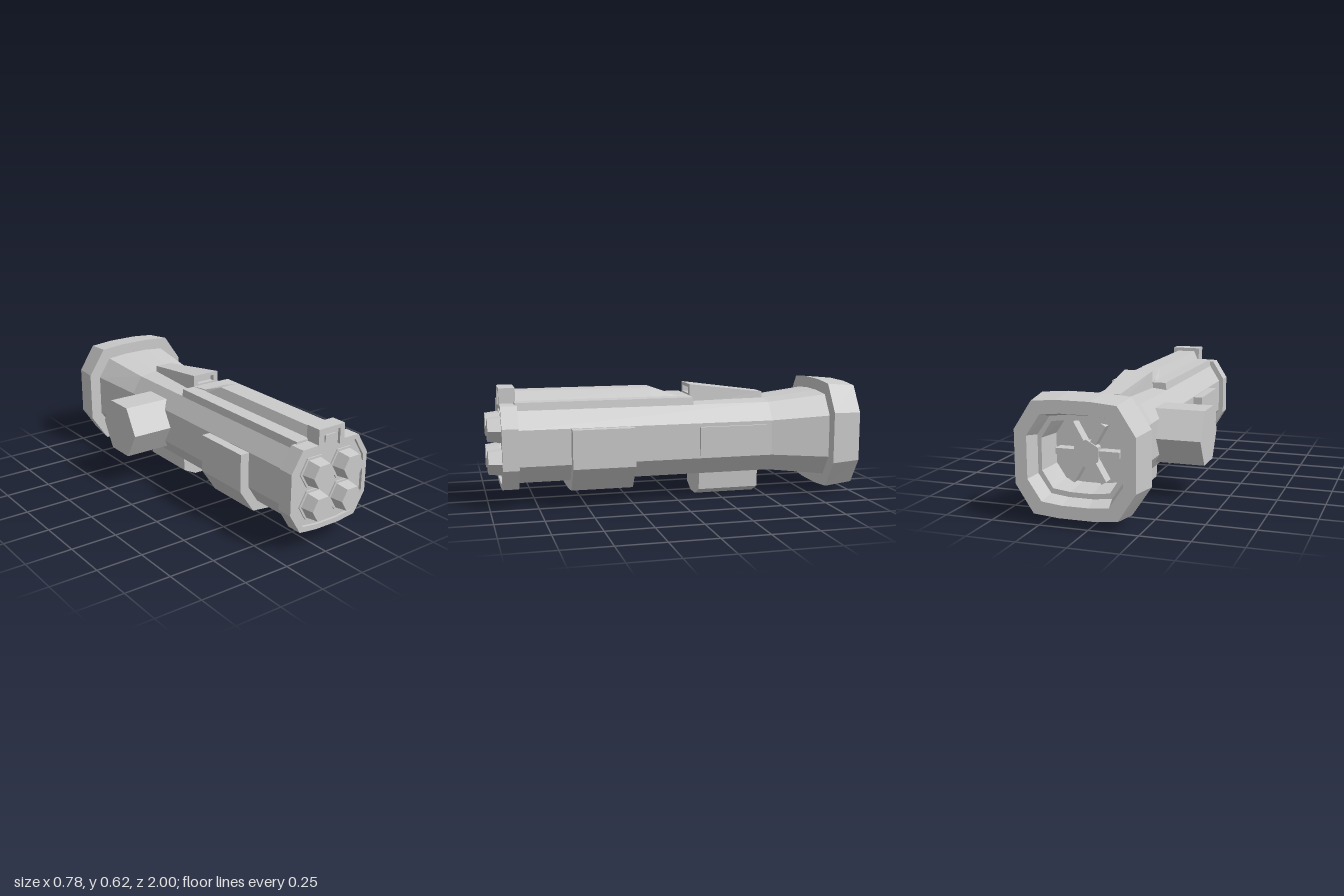
import * as THREE from 'three';

const CX = 0.064, CY = 0.327; // long axis of the launcher
const mat = new THREE.MeshStandardMaterial({ color: 0xcccccc, flatShading: true });

// Skin a list of [z, points] rings, ordered along the surface from front to back.
function loft(rings, capFront = true, capBack = true) {
  const pos = [];
  const put = (r, i) => pos.push(r[1][i][0], r[1][i][1], r[0]);
  const n = rings[0][1].length;
  for (let k = 0; k < rings.length - 1; k++) {
    const a = rings[k], b = rings[k + 1];
    for (let i = 0; i < n; i++) {
      const j = (i + 1) % n;
      put(a, i); put(b, i); put(b, j);
      put(a, i); put(b, j); put(a, j);
    }
  }
  const cap = (r, flip) => {
    const tris = THREE.ShapeUtils.triangulateShape(r[1].map(p => new THREE.Vector2(...p)), []);
    for (const [a, b, c] of tris) for (const i of flip ? [a, c, b] : [a, b, c]) put(r, i);
  };
  if (capFront) cap(rings[0], false);
  if (capBack) cap(rings[rings.length - 1], true);
  const g = new THREE.BufferGeometry();
  g.setAttribute('position', new THREE.Float32BufferAttribute(pos, 3));
  g.computeVertexNormals();
  return g;
}

// Mirror a right-hand half profile (bottom to top) into a closed outline.
const mirror = half => [...half, ...half.map(([x, y]) => [-x, y]).reverse()];

// Chamfered section with slightly bowed top and bottom.
const section = (w, h, cw, ch, bow = 0.011) => mirror([
  [w * 0.28, -h], [cw, -h + bow], [w, -ch], [w, ch], [cw, h - bow], [w * 0.28, h]]);

// Trapezoid section.
const trap = (wb, yb, wt, yt) => mirror([[wb, yb], [wt, yt]]);

export function createModel() {
  const model = new THREE.Group();
  const axis = new THREE.Group();
  axis.name = 'launcher';
  axis.position.set(CX, CY, 0);
  model.add(axis);
  const add = (name, geo, x = 0, y = 0, z = 0, parent = axis) => {
    const m = new THREE.Mesh(geo, mat);
    m.name = name;
    m.position.set(x, y, z);
    parent.add(m);
    return m;
  };

  // Main tube and widening neck
  const tube = section(0.22, 0.2, 0.16, 0.095);
  const neck = section(0.26, 0.235, 0.187, 0.115);
  add('body', loft([[0.86, tube], [-0.52, tube], [-0.84, neck]], true, false));

  // Rear bell with stepped cavity
  const throat = section(0.185, 0.16, 0.135, 0.075);
  add('rearBell', loft([
    [-0.84, neck],
    [-0.84, section(0.325, 0.298, 0.226, 0.139)],
    [-1, section(0.303, 0.283, 0.212, 0.132)],
    [-1, section(0.24, 0.22, 0.17, 0.105)],
    [-0.92, section(0.22, 0.2, 0.155, 0.095)],
    [-0.92, section(0.2, 0.175, 0.145, 0.08)],
    [-0.78, throat]], false, true));

  // Hub and spokes inside the bell
  const hub = new THREE.Group();
  hub.name = 'rearHub';
  hub.position.z = -0.81;
  axis.add(hub);
  const hubGeo = new THREE.CylinderGeometry(0.07, 0.05, 0.09, 6);
  hubGeo.rotateX(-Math.PI / 2);
  add('hubCore', hubGeo, 0, 0, 0, hub);
  for (let i = 0; i < 6; i++) {
    const a = i * Math.PI / 3;
    add('spoke', new THREE.BoxGeometry(0.11, 0.03, 0.06),
      0.11 * Math.cos(a), 0.11 * Math.sin(a), 0, hub).rotation.z = a;
  }

  // Front collar with sight bump and recessed face
  const collar = (w, h, top, cw, ch, bw, bt, by = 0.012) => mirror([
    [w * 0.28, -h], [cw, -h + by], [w, -ch], [w, ch], [cw, top - 0.002], [bw, top], [bw, bt]]);
  const outer = collar(0.247, 0.23, 0.218, 0.18, 0.108, 0.083, 0.298);
  const inner = collar(0.222, 0.203, 0.195, 0.162, 0.097, 0.055, 0.278);
  add('frontCollar', loft([[0.92, inner], [0.935, inner], [0.935, outer], [0.85, outer]]));
  add('frontSight', new THREE.BoxGeometry(0.066, 0.036, 0.016), 0, 0.238, 0.92);

  // Four hexagonal muzzles on thin bases
  for (const x of [-0.096, 0.096]) for (const y of [-0.086, 0.086]) {
    const make = (r1, r2, len) => new THREE.CylinderGeometry(r1, r2, len, 6)
      .rotateY(Math.PI / 2).rotateX(Math.PI / 2).rotateZ(0);
    add('muzzleBase', make(0.088, 0.088, 0.02), x, y, 0.918);
    add('muzzle', make(0.066, 0.077, 0.08), x, y, 0.96);
  }

  // Raised top panel and tapering rail
  const panel = trap(0.162, 0.18, 0.155, 0.228);
  add('topPanel', loft([[0.86, panel], [-0.09, panel]]));
  const rail = trap(0.083, 0.21, 0.053, 0.278);
  add('topRail', loft([[0.86, rail], [0.125, rail],
    [0, trap(0.083, 0.21, 0.068, 0.234)], [-0.09, trap(0.083, 0.21, 0.083, 0.229)]]));

  // Rear sight ramp with a window set in its front
  const slot = trap(0.055, 0.238, 0.055, 0.272);
  add('sightRamp', loft([[-0.12, slot], [-0.09, slot],
    [-0.09, trap(0.083, 0.18, 0.08, 0.29)], [-0.52, trap(0.053, 0.18, 0.05, 0.233)]]));

  // Strap wrapping sides and underside
  const strap = mirror([[0.075, -0.252], [0.185, -0.24], [0.271, -0.112], [0.271, 0.093]]);
  add('strap', loft([[0.58, strap], [0.25, strap]]));

  // Side plate
  add('sidePlate', new THREE.BoxGeometry(0.04, 0.155, 0.375), 0.216, -0.002, -0.298);

  // Foot under the body
  const foot = mirror([[0.043, -0.327], [0.119, -0.289], [0.124, -0.19]]);
  add('foot', loft([[-0.135, foot], [-0.472, foot]]));

  // Hexagonal side housing
  const housing = new THREE.CylinderGeometry(0.165, 0.165, 0.3, 6).rotateZ(Math.PI / 2);
  add('sideHousing', housing, -0.304, 0.001, -0.29);

  return model;
}
